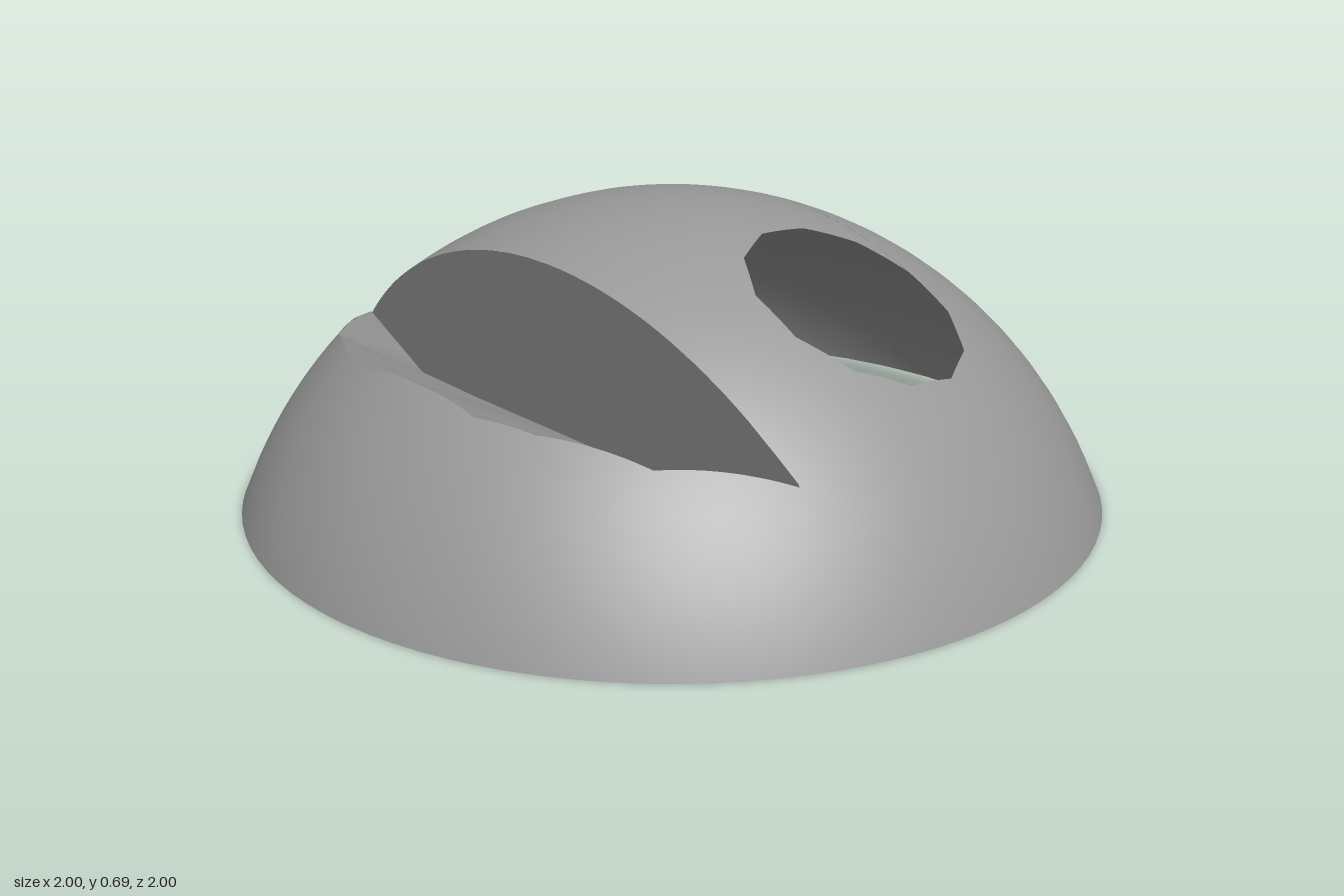
import * as THREE from 'three';

const CENTER_Y = -0.384, RADIUS = 1.07;

// Height of the spherical dome above a point of the ground plane
const domeY = (x, z) => Math.max(0, Math.sqrt(RADIUS * RADIUS - x * x - z * z) + CENTER_Y);

// The wall behind the mouth lies in one plane, leaning back towards its foot
const wallZ = (y) => 0.338 + (y - 0.312) * 0.17;

// Half of the mouth from the middle to the corner: [x, lower lip z, recess bottom y]
const MOUTH = [[0, 0.715, 0.19], [0.2, 0.71, 0.19], [0.34, 0.665, 0.19], [0.56, 0.55, 0.195], [0.745, 0.338, 0.312]];

function ellipse(cx, cz, rx, rz, sides, turn = 0) {
  return Array.from({ length: sides }, (_, i) => {
    const a = (i / sides) * Math.PI * 2 + turn;
    return new THREE.Vector2(cx + rx * Math.cos(a), -(cz + rz * Math.sin(a)));
  });
}

// Cross-sections of the mouth from one corner to the other
function mouthSections() {
  const keys = [...MOUTH.slice(1).reverse().map(([x, z, y]) => [-x, z, y]), ...MOUTH];
  const steps = 3, out = [];
  for (let i = 0; i <= (keys.length - 1) * steps; i++) {
    const k = Math.min(Math.floor(i / steps), keys.length - 2), t = i / steps - k;
    const [x, lipZ, bottomY] = keys[k].map((v, j) => THREE.MathUtils.lerp(v, keys[k + 1][j], t));
    // Where the wall plane meets the dome
    let topZ = 0.36;
    for (let n = 0; n < 8; n++) topZ = wallZ(domeY(x, topZ));
    out.push({
      upper: new THREE.Vector3(x, domeY(x, topZ), topZ),
      bottom: new THREE.Vector3(x, bottomY, wallZ(bottomY)),
      lip: new THREE.Vector3(x, domeY(x, lipZ), lipZ),
    });
  }
  return out;
}

// Splits every triangle into four
function subdivide(tris) {
  const mid = (a, b) => a.clone().add(b).multiplyScalar(0.5);
  return tris.flatMap(([a, b, c]) => {
    const ab = mid(a, b), bc = mid(b, c), ca = mid(c, a);
    return [[a, ab, ca], [ab, b, bc], [ca, bc, c], [ab, bc, ca]];
  });
}

// Flat disc with holes, refined and then lifted onto the sphere
function domeGeometry(sections) {
  const shape = new THREE.Shape(ellipse(0, 0, 1, 1, 96));
  for (const s of [-1, 1]) {
    shape.holes.push(new THREE.Path(ellipse(s * 0.488, -0.087, 0.228, 0.248, 12, Math.PI / 12)));
  }
  const outline = [...sections.map((s) => s.upper), ...sections.slice(1, -1).reverse().map((s) => s.lip)];
  shape.holes.push(new THREE.Path(outline.map((p) => new THREE.Vector2(p.x, -p.z))));

  const flat = new THREE.ShapeGeometry(shape).rotateX(-Math.PI / 2).toNonIndexed();
  const pos = flat.getAttribute('position');
  const point = (i) => new THREE.Vector3().fromBufferAttribute(pos, i);
  let tris = [];
  for (let i = 0; i < pos.count; i += 3) tris.push([point(i), point(i + 1), point(i + 2)]);
  for (let i = 0; i < 4; i++) tris = subdivide(tris);

  const positions = [], normals = [];
  for (const p of tris.flat()) {
    const y = domeY(p.x, p.z);
    positions.push(p.x, y, p.z);
    normals.push(p.x / RADIUS, (y - CENTER_Y) / RADIUS, p.z / RADIUS);
  }
  const geo = new THREE.BufferGeometry();
  geo.setAttribute('position', new THREE.Float32BufferAttribute(positions, 3));
  geo.setAttribute('normal', new THREE.Float32BufferAttribute(normals, 3));
  return geo;
}

// Surface strip between two rows of points
function ribbon(rowA, rowB) {
  const index = [];
  for (let i = 0; i < rowA.length - 1; i++) {
    const a = i * 2, b = a + 1;
    index.push(a, b, b + 2, a, b + 2, a + 2);
  }
  const geo = new THREE.BufferGeometry().setFromPoints(rowA.flatMap((p, i) => [p, rowB[i]]));
  geo.setIndex(index);
  geo.computeVertexNormals();
  return geo;
}

export function createModel() {
  const group = new THREE.Group();
  group.name = 'smilingDome';
  const material = new THREE.MeshStandardMaterial({ color: 0x999999, side: THREE.DoubleSide });
  const add = (name, geometry) => {
    const mesh = new THREE.Mesh(geometry, material);
    mesh.name = name;
    group.add(mesh);
  };
  const sections = mouthSections();
  const row = (key) => sections.map((s) => s[key]);

  // Open shell with two eye holes and the mouth opening
  add('domeShell', domeGeometry(sections));
  // Recess behind the mouth opening
  add('mouthBackWall', ribbon(row('upper'), row('bottom')));
  add('mouthFloor', ribbon(row('bottom'), row('lip')));
  return group;
}
